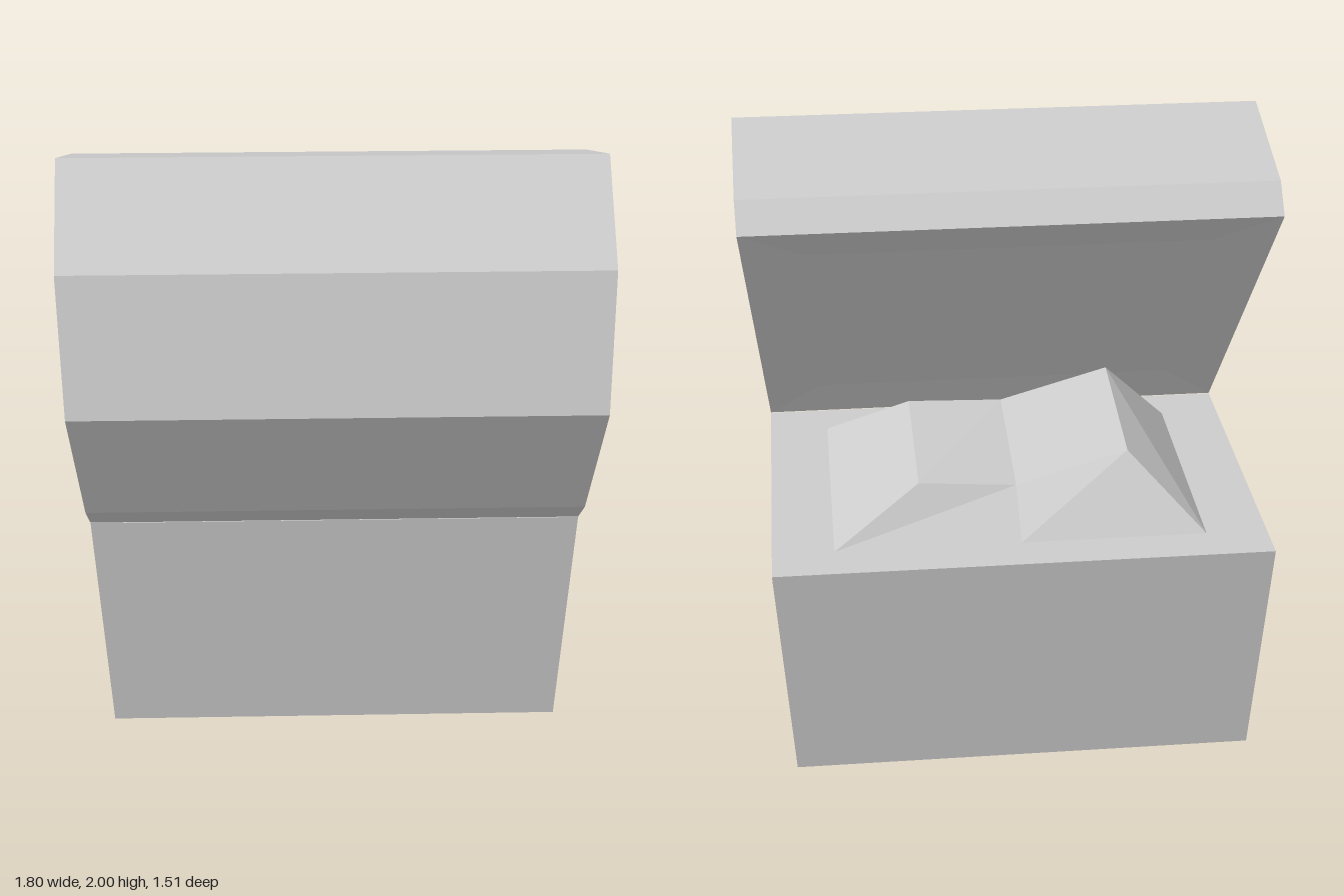
import * as THREE from 'three';

const material = new THREE.MeshStandardMaterial({ color: 0xcccccc, flatShading: true });

// Mesh from planar polygons, each a counter-clockwise list of [x, y, z]
function polyMesh(name, polys) {
  const pos = [];
  for (const p of polys) {
    for (let i = 1; i < p.length - 1; i++) pos.push(...p[0], ...p[i], ...p[i + 1]);
  }
  const geo = new THREE.BufferGeometry();
  geo.setAttribute('position', new THREE.Float32BufferAttribute(pos, 3));
  geo.computeVertexNormals();
  const mesh = new THREE.Mesh(geo, material);
  mesh.name = name;
  return mesh;
}

// Quads joining two closed loops of equal length
function band(a, b) {
  return a.map((p, i) => {
    const j = (i + 1) % a.length;
    return [p, a[j], b[j], b[i]];
  });
}

const rect = (x, y, front, back) => [[-x, y, front], [x, y, front], [x, y, back], [-x, y, back]];

// Tapered box body
function createBody() {
  const bottom = rect(0.775, 0, 0.4, -0.71);
  const top = rect(0.825, 0.783, 0.43, -0.755);
  return polyMesh('chestBody', [...band(bottom, top), top, bottom.slice().reverse()]);
}

// Faceted heap with a sagging middle ridge
function createContents() {
  const y = 0.783;
  const base = [[-0.62, y, 0.28], [0, y, 0.28], [0.62, y, 0.28],
    [0.62, y, -0.615], [0, y, -0.615], [-0.62, y, -0.615]];
  const top = [[-0.38, 1.06, 0.12], [0, 0.96, 0.1], [0.33, 0.98, 0.08],
    [0.33, 0.935, -0.45], [0, 0.9, -0.43], [-0.38, 1.0, -0.405]];
  const crown = [[0, 1, 4, 5], [1, 2, 3, 4]].map((q) => q.map((i) => top[i]));
  return polyMesh('contents', [...band(base, top), ...crown]);
}

// Open barrel lid: side profile [z, y] spanned across x, flaring with height
function createLid() {
  const profile = [[0.43, 0.785], [0.53, 0.87], [0.76, 1.3], [0.61, 1.73],
    [0.235, 2.0], [-0.23, 1.88], [-0.335, 1.795]];
  const side = (s) => profile.map(([z, y]) => [s * (0.825 + (y - 0.785) * 0.0617), y, z]);
  const right = side(1), left = side(-1);
  const last = profile.length - 1;
  const polys = [right.slice().reverse(), left];
  for (let i = 0; i < last; i++) polys.push([right[i], right[i + 1], left[i + 1], left[i]]);

  // Underside: sloping border around a shallow sunken panel
  const rim = [right[last], right[0], left[0], left[last]];
  const depth = 0.02;
  const panel = [[1, 0.87], [1, 0.13], [-1, 0.13], [-1, 0.87]].map(([s, t]) => [
    s * (0.63 + 0.05 * t),
    THREE.MathUtils.lerp(0.785, 1.795, t) + 0.604 * depth,
    THREE.MathUtils.lerp(0.43, -0.335, t) + 0.797 * depth,
  ]);
  polys.push(...band(rim, panel), panel);
  return polyMesh('lid', polys);
}

export function createModel() {
  const group = new THREE.Group();
  group.name = 'openChest';
  group.add(createBody(), createContents(), createLid());
  return group;
}
